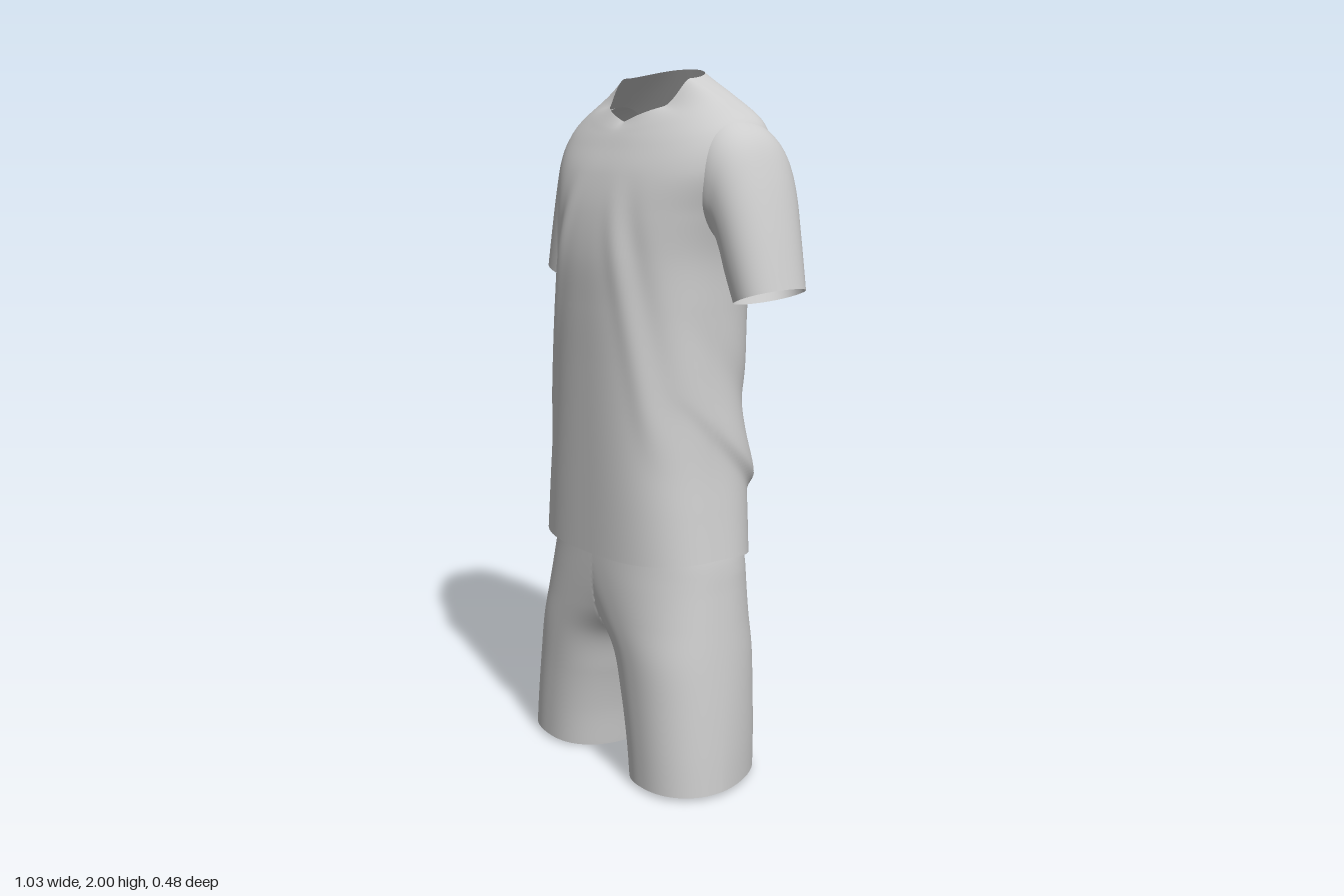
import * as THREE from 'three';
import { mergeVertices, mergeGeometries } from 'three/addons/utils/BufferGeometryUtils.js';

const cloth = new THREE.MeshStandardMaterial({ color: 0xcccccc, side: THREE.DoubleSide });
cloth.name = 'light grey cloth';

// Smooth interpolation through rows of cross-section parameters, t in 0..1
function sampleRows(rows, t) {
  const f = t * (rows.length - 1);
  const i = Math.min(Math.floor(f), rows.length - 2);
  const k = f - i;
  const at = (n) => rows[Math.max(0, Math.min(rows.length - 1, n))];
  return rows[0].map((_, c) => {
    const [a, b, d, e] = [at(i - 1)[c], at(i)[c], at(i + 1)[c], at(i + 2)[c]];
    const m0 = (d - a) / 2, m1 = (e - b) / 2;
    return b + k * (m0 + k * (3 * (d - b) - 2 * m0 - m1 + k * (2 * (b - d) + m0 + m1)));
  });
}

// Cosine and sine squared off into a superellipse
function roundedSquare(angle, power) {
  const bend = (n) => Math.sign(n) * Math.pow(Math.abs(n), 2 / power);
  return [bend(Math.cos(angle)), bend(Math.sin(angle))];
}

// Closed rings joined into an open tube; keep() can drop triangles
function tube(point, around, along, flip = false, keep = () => true) {
  const points = [], index = [];
  for (let j = 0; j <= along; j++)
    for (let i = 0; i < around; i++) points.push(point((i / around) * Math.PI * 2, j / along));
  const add = (a, b, c) => {
    if (keep(points[a], points[b], points[c])) index.push(...(flip ? [a, c, b] : [a, b, c]));
  };
  for (let j = 0; j < along; j++)
    for (let i = 0; i < around; i++) {
      const n = (i + 1) % around;
      const a = j * around + i, b = j * around + n, c = a + around, d = b + around;
      add(a, c, b);
      add(b, c, d);
    }
  const geometry = new THREE.BufferGeometry().setFromPoints(points);
  geometry.setIndex(index);
  return geometry;
}

function addMesh(group, name, geometry) {
  geometry.computeVertexNormals();
  const mesh = new THREE.Mesh(geometry, cloth);
  mesh.name = name;
  group.add(mesh);
}

const gauss = (t, w) => Math.exp(-(t * t) / (w * w));
const { smoothstep: smooth, lerp } = THREE.MathUtils;

// Shirt body: side y, front y, back y, half width, front z, back z, side z
const bodyRows = [
  [0.675, 0.66, 0.645, 0.342, 0.24, -0.205, 0.01],
  [0.8, 0.8, 0.8, 0.325, 0.24, -0.212, 0.01],
  [0.93, 0.93, 0.93, 0.309, 0.24, -0.212, 0.01],
  [1.06, 1.06, 1.06, 0.301, 0.24, -0.218, 0.01],
  [1.2, 1.2, 1.2, 0.297, 0.24, -0.225, 0.01],
  [1.36, 1.36, 1.36, 0.294, 0.24, -0.23, 0],
  [1.5, 1.5, 1.5, 0.3, 0.236, -0.235, -0.02],
  [1.62, 1.62, 1.63, 0.328, 0.216, -0.232, -0.04],
  [1.745, 1.72, 1.75, 0.365, 0.183, -0.213, -0.06],
  [1.852, 1.79, 1.85, 0.345, 0.147, -0.184, -0.07],
  [1.918, 1.835, 1.94, 0.25, 0.12, -0.152, -0.05],
  [1.975, 1.858, 2.0, 0.15, 0.095, -0.13, -0.02],
];

function bodyPoint(angle, t) {
  const [ySide, yFront, yBack, width, zFront, zBack, zSide] = sampleRows(bodyRows, t);
  const front = Math.sin(angle) > 0;
  const shoulder = smooth(t, 0.5, 0.7) * (1 - smooth(t, 0.82, 1));
  const square = front ? 0.3 * (1 - smooth(t, 0.1, 0.5)) : 0.8 * shoulder;
  const [c, s] = roundedSquare(angle, 2.4 - 0.2 * smooth(t, 0.75, 1) + square);
  // The front dips into a shallow V at the neckline
  const round = Math.pow(Math.abs(s), 1.6);
  const vee = (1 - 0.44 * Math.abs(c)) * smooth(s, 0, 0.65);
  const dip = front ? lerp(round, vee, smooth(t, 0.88, 1)) : round;
  const y = ySide + ((front ? yFront : yBack) - ySide) * dip;
  let x = width * c;
  let z = zSide + (front ? zFront - zSide : zSide - zBack) * s;

  // Blouse fold dropping from the sides to the lower back
  const drop = y - (0.8 + (z + 0.24) * 0.95);
  const foldFade = (1 - smooth(z, -0.05, 0.17)) * lerp(0.35, 1, 1 - smooth(z, -0.22, 0));
  let push = 0.028 * foldFade * gauss(drop, drop < 0 ? 0.03 : 0.09);
  push -= 0.01 * foldFade * gauss(drop - 0.2, 0.07);
  // Hanging folds on the back
  const hang = smooth(y, 0.9, 1.1) * (1 - smooth(y, 1.5, 1.75));
  if (!front) push += 0.005 * hang * Math.cos(x * 42) * s * s;
  // Slanting creases from the chest to the hips
  if (front) {
    const across = Math.abs(x) - (0.12 + (1.55 - y) * 0.22);
    push += 0.007 * hang * s * (gauss(across, 0.03) - gauss(across - 0.06, 0.03));
  }
  x += push * Math.cos(angle);
  z += push * Math.sin(angle);
  return new THREE.Vector3(x, y, z);
}

// Sleeve: outer x, outer y, under x, under y, front z, back z
const sleeveRows = [
  [0.22, 1.895, 0.23, 1.62, 0.04, -0.16],
  [0.28, 1.882, 0.262, 1.57, 0.068, -0.185],
  [0.34, 1.858, 0.29, 1.545, 0.076, -0.196],
  [0.39, 1.812, 0.31, 1.525, 0.069, -0.199],
  [0.43, 1.725, 0.325, 1.49, 0.062, -0.195],
  [0.473, 1.59, 0.34, 1.44, 0.055, -0.18],
  [0.515, 1.435, 0.365, 1.382, 0.047, -0.163],
];

function sleevePoint(angle, t, side) {
  const [ox, oy, ux, uy, zf, zb] = sampleRows(sleeveRows, t);
  const [c, s] = roundedSquare(angle, 2.2);
  const k = (1 + c) / 2;
  return new THREE.Vector3(side * (ux + (ox - ux) * k), uy + (oy - uy) * k, (zf + zb) / 2 + ((zf - zb) / 2) * s);
}

// Shorts leg: y, outer x, inner x, front z, back z (negative inner x joins the other leg)
const legRows = [
  [0.012, 0.4, 0.08, 0.21, -0.18],
  [0.12, 0.392, 0.065, 0.211, -0.181],
  [0.25, 0.38, 0.035, 0.212, -0.182],
  [0.38, 0.366, -0.01, 0.214, -0.184],
  [0.48, 0.354, -0.12, 0.215, -0.187],
  [0.57, 0.343, -0.22, 0.215, -0.19],
  [0.66, 0.332, -0.3, 0.213, -0.19],
  [0.78, 0.308, -0.308, 0.208, -0.185],
  [0.9, 0.288, -0.288, 0.2, -0.18],
];

function legPoint(angle, t, side) {
  const [y, outer, inner, zf, zb] = sampleRows(legRows, t);
  // The outer back corner is rounded off towards the hem
  const low = 1 - Math.min(1, y / 0.62);
  const outerBack = Math.cos(angle) > 0 && Math.sin(angle) < 0;
  const [c, s] = roundedSquare(angle, 2.35 - (outerBack ? 0.8 * low : 0));
  const x = Math.max(0, (outer + inner) / 2 + ((outer - inner) / 2) * c);
  const zSide = (zf + zb) / 2 + 0.035 * low * Math.max(0, c);
  const z = zSide + (s > 0 ? zf - zSide : zSide - zb) * s;
  const sway = -0.01 * (1 - Math.min(1, y / 0.66));
  const hem = side < 0 ? 0.012 * c * (1 - smooth(y, 0, 0.15)) : 0;
  return new THREE.Vector3(side * x + sway, y + hem, z);
}

export function createModel() {
  const model = new THREE.Group();
  model.name = 'sportsOutfit';

  const shirt = new THREE.Group();
  shirt.name = 'shirt';
  addMesh(shirt, 'shirtBody', tube(bodyPoint, 144, 140));
  for (const side of [1, -1]) {
    const geometry = tube((a, t) => sleevePoint(a, t, side), 64, 40, side > 0);
    addMesh(shirt, side > 0 ? 'leftSleeve' : 'rightSleeve', geometry);
  }
  model.add(shirt);

  // Both legs meet on the centre line, where the wall between them is left out
  const legs = [1, -1].map((side) => {
    const onSeam = (p) => Math.abs(p.x + 0.01 * (1 - Math.min(1, p.y / 0.66))) < 1e-5;
    const keep = (a, b, c) => !(onSeam(a) && onSeam(b) && onSeam(c));
    return tube((a, t) => legPoint(a, t, side), 160, 90, side < 0, keep);
  });
  addMesh(model, 'shorts', mergeVertices(mergeGeometries(legs), 1e-4));
  return model;
}
